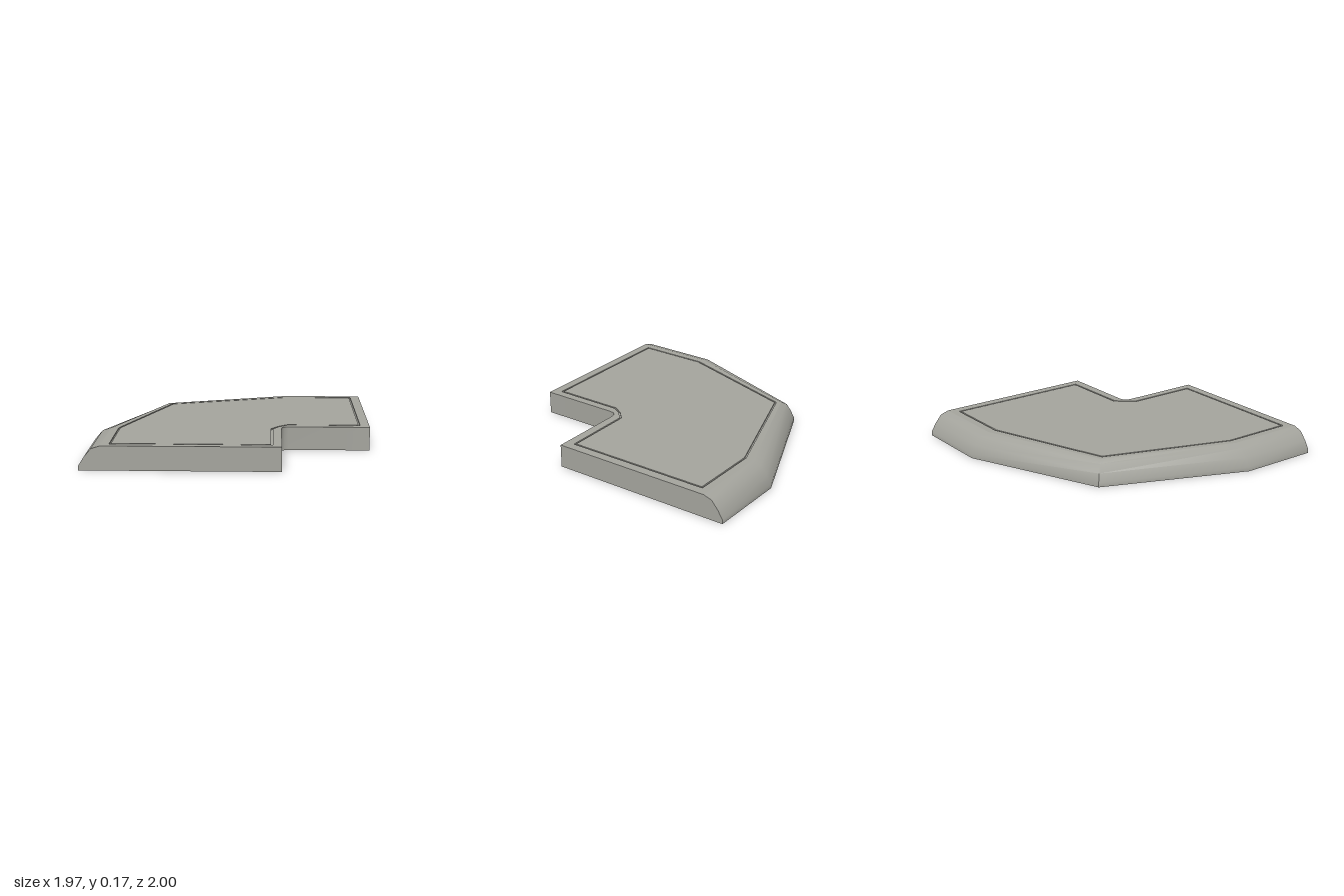
import * as THREE from 'three';
import { toCreasedNormals } from 'three/addons/utils/BufferGeometryUtils.js';

const H = 0.167; // slab height
const GROOVE = 0.01; // groove depth

// Rounded outer edge: [inset, height]
const PROFILE = [[0, 0], [0, 0.03], [0.037, 0.09], [0.085, 0.147], [0.147, H]];
// Outer path stations: x, z and inset direction
const STATIONS = [
  [-0.985, 1, 1, 0], [-0.985, 0.42, 1, 0], [-0.58, -0.59, 0.5, 0.5],
  [0.4, -1, 0, 1], [0.985, -1, 0, 1],
];
// Straight sides of the inner corner: x, z
const INNER = [[0.985, 0.35], [0.41, 0.352], [0.38, 0.363], [0.365, 0.383], [0.36, 0.42], [0.36, 1]];

// Groove outlines: x, z
const GROOVE_OUT = [
  [-0.785, 0.936], [-0.785, 0.42], [-0.482, -0.49], [0.4, -0.796], [0.917, -0.796],
  [0.92, 0.285], [0.405, 0.29], [0.342, 0.35], [0.3, 0.42], [0.3, 0.936],
];
const GROOVE_IN = [
  [-0.774, 0.925], [-0.774, 0.422], [-0.473, -0.481], [0.402, -0.784], [0.906, -0.784],
  [0.909, 0.274], [0.401, 0.278], [0.333, 0.343], [0.288, 0.417], [0.288, 0.925],
];

const toV2 = (pts) => pts.map(([x, y]) => new THREE.Vector2(x, y));

// Horizontal face at height y, optionally with a hole
function topFace(pts, y, hole) {
  const flip = (p) => toV2(p.map(([x, z]) => [x, -z]));
  const shape = new THREE.Shape(flip(pts));
  if (hole) shape.holes.push(new THREE.Path(flip(hole)));
  return new THREE.ShapeGeometry(shape).rotateX(-Math.PI / 2).translate(0, y, 0);
}

// Surface through columns of points, each column running upwards
function strip(columns) {
  const n = columns[0].length, index = [];
  for (let i = 0; i < columns.length - 1; i++) {
    for (let j = 0; j < n - 1; j++) {
      const a = i * n + j, b = a + n;
      index.push(a, a + 1, b, b, a + 1, b + 1);
    }
  }
  const g = new THREE.BufferGeometry();
  g.setAttribute('position', new THREE.Float32BufferAttribute(columns.flat(2), 3));
  g.setIndex(index);
  return toCreasedNormals(g, 0.7);
}

const wall = (pts, y0, y1) => strip(pts.map(([x, z]) => [[x, y0, z], [x, y1, z]]));
const closed = (pts) => [...pts, pts[0]];

export function createModel() {
  const group = new THREE.Group();
  group.name = 'cornerSlab';
  const stone = new THREE.MeshStandardMaterial({ color: 0xa3a39c });
  stone.name = 'stoneGrey';
  const add = (name, geometry) => {
    const mesh = new THREE.Mesh(geometry, stone);
    mesh.name = name;
    group.add(mesh);
  };

  // Outer rounded edge and inner corner sides
  const columns = STATIONS.map(([x, z, dx, dz]) =>
    PROFILE.map(([d, y]) => [x + dx * d, y, z + dz * d]));
  add('roundedEdge', strip(columns));
  add('innerCornerSides', wall(INNER, 0, H));

  // Flat ends
  const frontEnd = [...PROFILE.map(([d, y]) => [-0.985 + d, y]), [0.36, H], [0.36, 0]];
  add('frontEnd', new THREE.ShapeGeometry(new THREE.Shape(toV2(frontEnd))).translate(0, 0, 1));
  const leftEnd = [...PROFILE.map(([d, y]) => [1 - d, y]), [-0.35, H], [-0.35, 0]];
  add('leftEnd', new THREE.ShapeGeometry(new THREE.Shape(toV2(leftEnd)))
    .rotateY(Math.PI / 2).translate(0.985, 0, 0));

  // Underside
  const base = [...STATIONS.map(([x, z]) => [x, z]), ...INNER];
  add('underside', new THREE.ShapeGeometry(new THREE.Shape(toV2(base))).rotateX(Math.PI / 2));

  // Top border, sunken groove and centre panel
  const crest = [...columns.map((c) => [c[4][0], c[4][2]]), ...INNER];
  add('topBorder', topFace(crest, H, GROOVE_OUT));
  add('grooveFloor', topFace(GROOVE_OUT, H - GROOVE, GROOVE_IN));
  add('grooveOuterWall', wall(closed(GROOVE_OUT).reverse(), H - GROOVE, H));
  add('grooveInnerWall', wall(closed(GROOVE_IN), H - GROOVE, H));
  add('topPanel', topFace(GROOVE_IN, H));

  return group;
}
